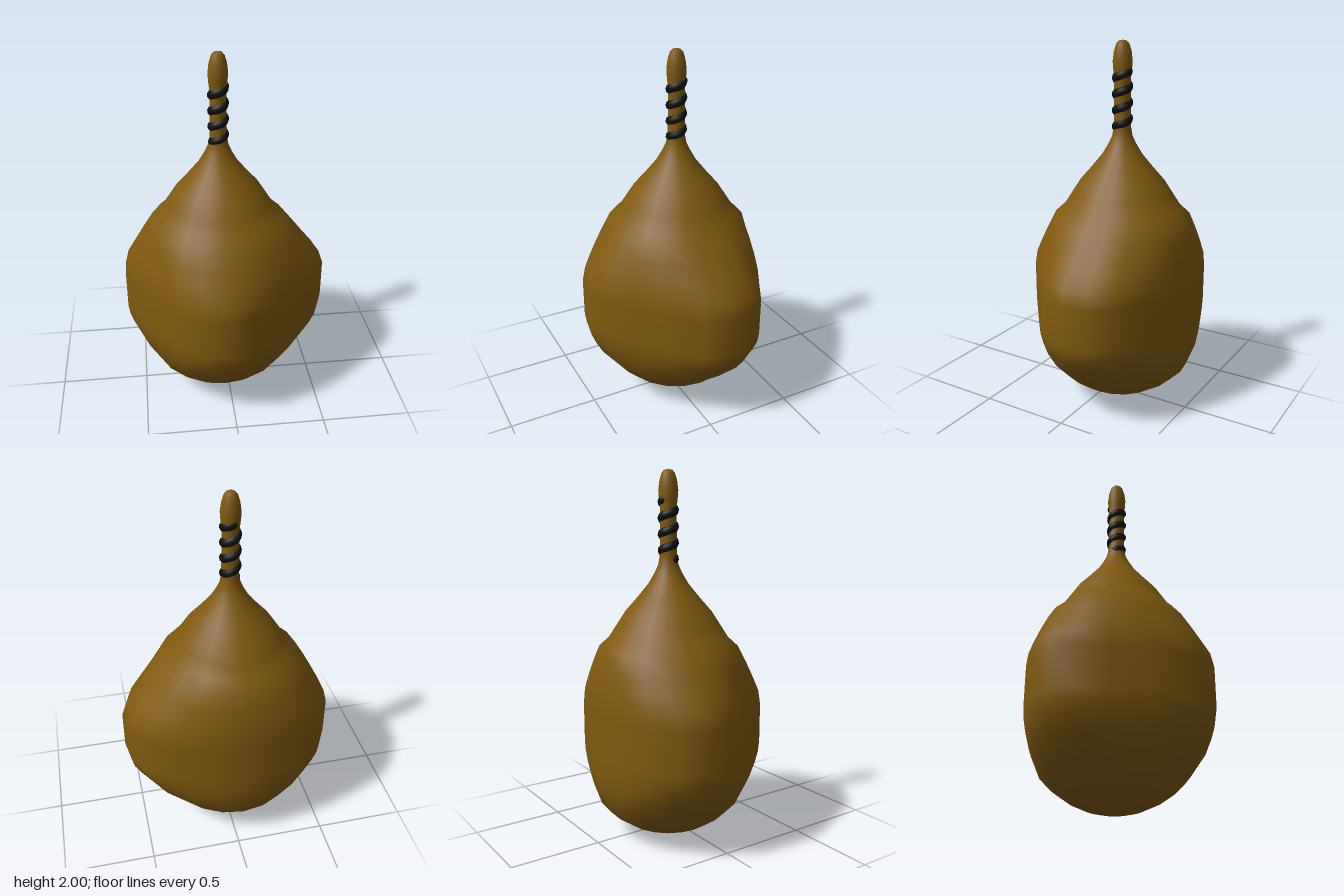
import * as THREE from 'three';

const CX = -0.04, CZ = -0.06; // axis of the tied neck

// Widest outline of the bulging sack, [x, z], from +x round through +z
const OUTLINE = [
  [0.575, -0.06], [0.525, 0.07], [0.39, 0.21], [0.24, 0.33], [0.09, 0.45],
  [-0.04, 0.49], [-0.175, 0.465], [-0.295, 0.39], [-0.4, 0.24], [-0.505, 0.09],
  [-0.58, -0.06], [-0.58, -0.195], [-0.515, -0.315], [-0.4, -0.41], [-0.24, -0.47],
  [-0.05, -0.49], [0.12, -0.47], [0.3, -0.41], [0.47, -0.315], [0.555, -0.195],
];

// Levels: [y, round radius, bulge towards the outline 0..1]
const LEVELS = [
  [0.005, 0.0, 0], [0.013, 0.08, 0], [0.03, 0.15, 0], [0.07, 0.24, 0], [0.125, 0.32, 0],
  [0.19, 0.385, 0], [0.3, 0.41, 0.48], [0.38, 0.42, 0.75], [0.44, 0.43, 0.92],
  [0.5, 0.43, 1], [0.72, 0.43, 1], [0.8, 0.42, 0.86], [0.88, 0.41, 0.55],
  [0.97, 0.395, 0.26], [1.06, 0.38, 0], [1.11, 0.325, 0], [1.18, 0.28, 0],
  [1.25, 0.235, 0], [1.33, 0.165, 0], [1.4, 0.108, 0], [1.46, 0.073, 0], [1.5, 0.055, 0],
  [1.55, 0.046, 0], [1.8, 0.044, 0], [1.84, 0.049, 0], [1.89, 0.053, 0],
  [1.94, 0.047, 0], [1.98, 0.035, 0], [1.995, 0.022, 0], [2.0, 0.0, 0],
];

// Loft the cloth through rings that blend a circle with the outline
function sackGeometry() {
  const n = OUTLINE.length, pos = [], index = [];
  for (const [y, r, w] of LEVELS) {
    OUTLINE.forEach(([ox, oz], i) => {
      const a = (i / n) * Math.PI * 2;
      pos.push(
        THREE.MathUtils.lerp(CX + r * Math.cos(a), ox, w), y,
        THREE.MathUtils.lerp(CZ + r * Math.sin(a), oz, w));
    });
  }
  for (let l = 0; l < LEVELS.length - 1; l++) {
    for (let i = 0; i < n; i++) {
      const a = l * n + i, b = l * n + (i + 1) % n;
      if (LEVELS[l + 1][1] > 0) index.push(a, a + n, b + n);
      if (LEVELS[l][1] > 0) index.push(a, b + n, b);
    }
  }
  const g = new THREE.BufferGeometry();
  g.setAttribute('position', new THREE.Float32BufferAttribute(pos, 3));
  g.setIndex(index);
  g.computeVertexNormals();
  // The pole rings share one point each, so give them one normal
  for (let i = 0; i < n; i++) {
    g.attributes.normal.setXYZ(i, 0, -1, 0);
    g.attributes.normal.setXYZ((LEVELS.length - 1) * n + i, 0, 1, 0);
  }
  return g;
}

// Cord winding round the neck
class Helix extends THREE.Curve {
  getPoint(t, target = new THREE.Vector3()) {
    const a = -1.2 + t * Math.PI * 2 * 3.7;
    return target.set(CX + 0.03 * Math.sin(a), 1.525 + 0.315 * t, CZ + 0.03 * Math.cos(a));
  }
}

export function createModel() {
  const group = new THREE.Group();
  group.name = 'tiedSack';

  const sack = new THREE.Mesh(sackGeometry(), new THREE.MeshStandardMaterial({ color: 0x80590f }));
  sack.name = 'sack';

  const cordMaterial = new THREE.MeshStandardMaterial({ color: 0x111111 });
  const helix = new Helix();
  const cord = new THREE.Group();
  cord.name = 'cord';
  const winding = new THREE.Mesh(new THREE.TubeGeometry(helix, 120, 0.027, 10), cordMaterial);
  winding.name = 'cordWinding';
  cord.add(winding);
  // Rounded cord ends
  for (const t of [0, 1]) {
    const end = new THREE.Mesh(new THREE.SphereGeometry(0.027, 10, 8), cordMaterial);
    end.position.copy(helix.getPoint(t));
    end.name = 'cordEnd';
    cord.add(end);
  }

  group.add(sack, cord);
  return group;
}
